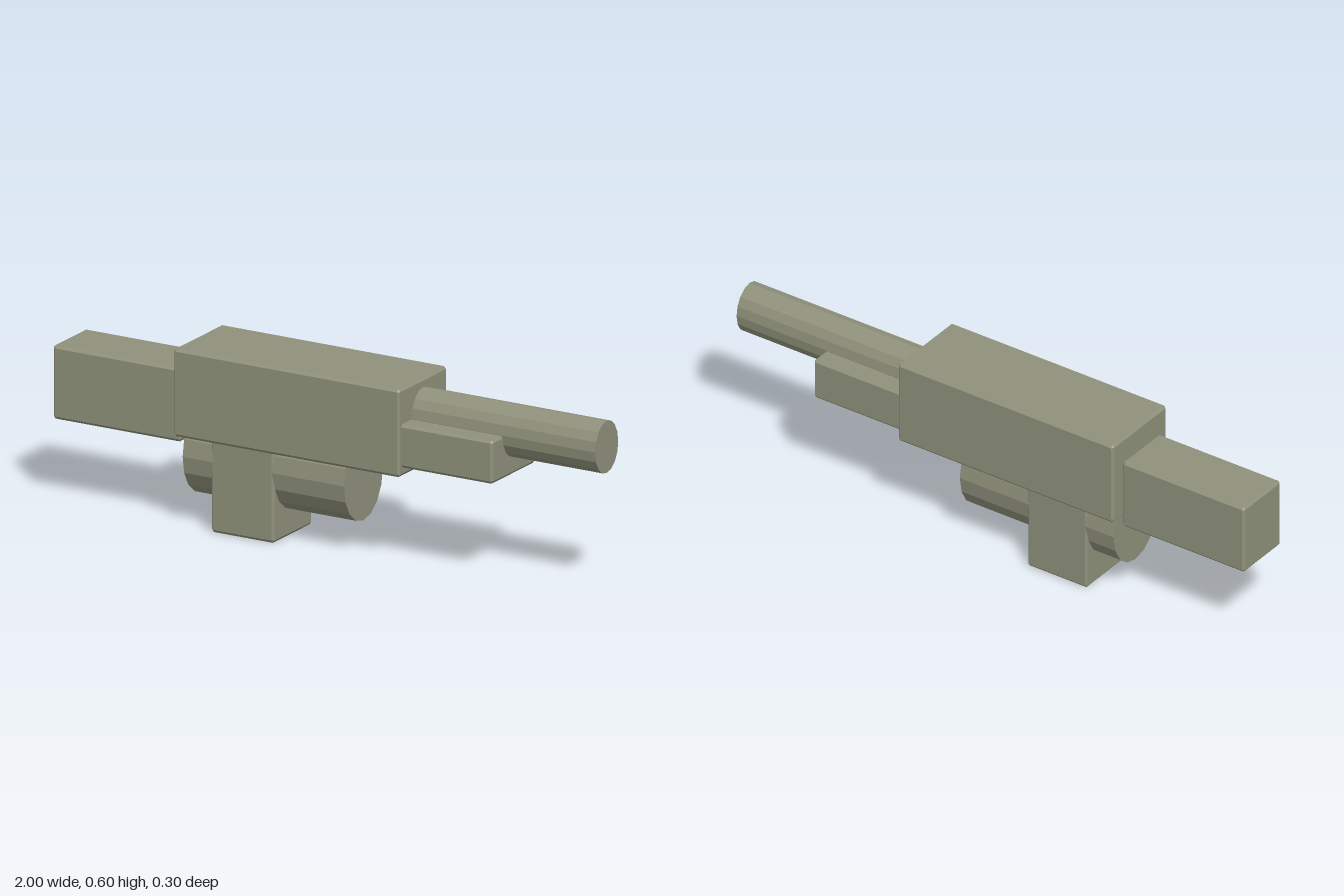
import * as THREE from 'three';
import { ConvexGeometry } from 'three/addons/geometries/ConvexGeometry.js';

// Box between two corners with narrow chamfers on every edge
function chamferedBox([x0, x1], [y0, y1], halfZ, [cx, cy, cz]) {
  const h = [(x1 - x0) / 2, (y1 - y0) / 2, halfZ];
  const points = [];
  for (const sx of [-1, 1]) for (const sy of [-1, 1]) for (const sz of [-1, 1]) {
    for (let outer = 0; outer < 3; outer++) {
      points.push(new THREE.Vector3(
        sx * (h[0] - (outer === 0 ? 0 : cx)),
        sy * (h[1] - (outer === 1 ? 0 : cy)),
        sz * (h[2] - (outer === 2 ? 0 : cz))));
    }
  }
  return new ConvexGeometry(points).translate((x0 + x1) / 2, (y0 + y1) / 2, 0);
}

// Sixteen-sided oval cylinder lying along x
function ovalCylinder([x0, x1], centreY, radiusY, radiusZ) {
  return new THREE.CylinderGeometry(1, 1, x1 - x0, 16)
    .rotateZ(Math.PI / 2)
    .scale(1, radiusY, radiusZ)
    .translate((x0 + x1) / 2, centreY, 0);
}

export function createModel() {
  const model = new THREE.Group();
  const olive = new THREE.MeshStandardMaterial({ color: 0x8f917b });
  olive.name = 'olive grey';
  olive.flatShading = true;

  const add = (name, geometry) => {
    const mesh = new THREE.Mesh(geometry, olive);
    mesh.name = name;
    model.add(mesh);
  };

  const chamfer = [0.007, 0.009, 0.008];

  // Main housing and rear block
  add('body', chamferedBox([-0.522, 0.317], [0.308, 0.602], 0.149, chamfer));
  add('rearBlock', chamferedBox([-1, -0.525], [0.275, 0.521], 0.102, chamfer));

  // Front tube and the block below it
  add('barrel', ovalCylinder([0.3, 1], 0.4845, 0.0875, 0.071));
  add('foreBlock', chamferedBox([0.3, 0.655], [0.338, 0.483], 0.135, chamfer));

  // Lower drum and the upright that passes through it
  add('drum', ovalCylinder([-0.505, 0.095], 0.235, 0.146, 0.12));
  add('upright', chamferedBox([-0.4, -0.167], [0, 0.33], 0.12, chamfer));

  return model;
}
